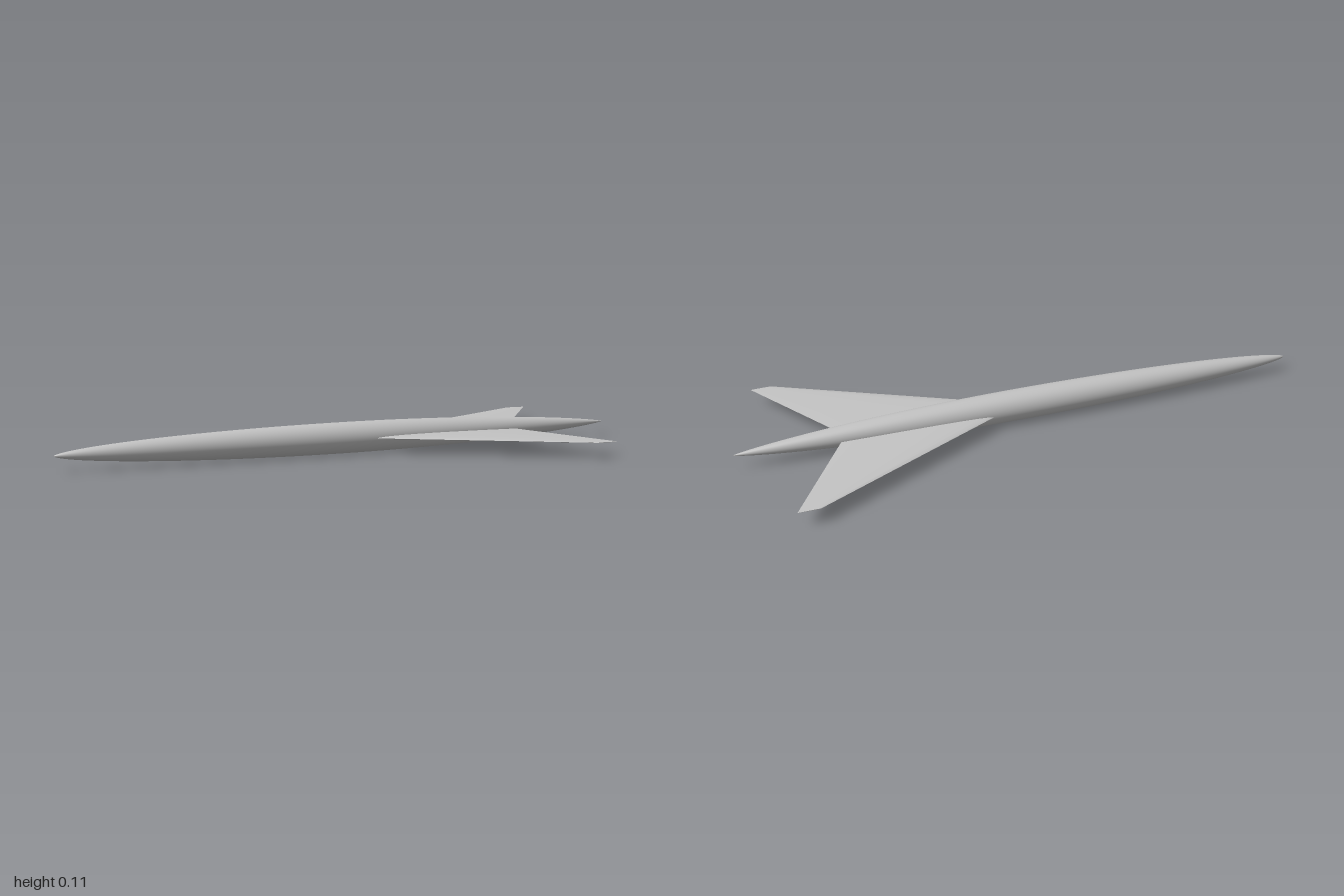
import * as THREE from 'three';
import { toCreasedNormals } from 'three/addons/utils/BufferGeometryUtils.js';

const RADIUS = 0.054;

// Slender body of revolution: blunt nose at -x, pointed tail at +x
function fuselageGeometry() {
  const steps = 64, profile = [];
  for (let i = 0; i <= steps; i++) {
    const x = -Math.cos((Math.PI * i) / steps);
    const power = x < 0 ? 0.6 : 0.78;
    const r = i === 0 || i === steps ? 0 : RADIUS * Math.pow(1 - x * x, power);
    profile.push(new THREE.Vector2(r, x));
  }
  return new THREE.LatheGeometry(profile, 48).rotateZ(-Math.PI / 2);
}

// Half thickness of a thin symmetric airfoil, for a chord of one
function airfoil(t) {
  return 0.125 * (0.2969 * Math.sqrt(t) - 0.126 * t - 0.3516 * t ** 2 + 0.2843 * t ** 3 - 0.1036 * t ** 4);
}

// Swept wing lofted from tip to centre to tip
function wingGeometry() {
  const sections = [
    { z: -0.38, lead: 0.79, trail: 0.865 },
    { z: 0, lead: 0.0, trail: 0.617 },
    { z: 0.38, lead: 0.79, trail: 0.865 },
  ];
  const half = 16, n = half * 2, pos = [], index = [];
  for (const { z, lead, trail } of sections) {
    const chord = trail - lead;
    for (let j = 0; j < n; j++) {
      const t = (1 - Math.cos((2 * Math.PI * j) / n)) / 2;
      const side = j <= half ? 1 : -1;
      pos.push(lead + chord * t, side * chord * airfoil(t), z);
    }
  }
  for (let i = 0; i < sections.length - 1; i++) {
    for (let j = 0; j < n; j++) {
      const k = (j + 1) % n;
      const a = i * n + j, b = i * n + k, c = a + n, d = b + n;
      index.push(a, c, b, b, c, d);
    }
  }
  // Tip caps
  const last = (sections.length - 1) * n;
  for (let j = 1; j < n - 1; j++) {
    index.push(0, j, j + 1, last, last + j + 1, last + j);
  }
  const geo = new THREE.BufferGeometry();
  geo.setAttribute('position', new THREE.Float32BufferAttribute(pos, 3));
  geo.setIndex(index);
  return toCreasedNormals(geo, 0.6);
}

export function createModel() {
  const model = new THREE.Group();
  model.name = 'sweptWingAircraft';

  const grey = new THREE.MeshStandardMaterial({ color: 0xc4c4c4 });
  grey.name = 'light grey';

  const add = (name, geometry) => {
    const mesh = new THREE.Mesh(geometry, grey);
    mesh.name = name;
    mesh.position.y = RADIUS;
    model.add(mesh);
  };
  add('fuselage', fuselageGeometry());
  add('wings', wingGeometry());
  return model;
}
